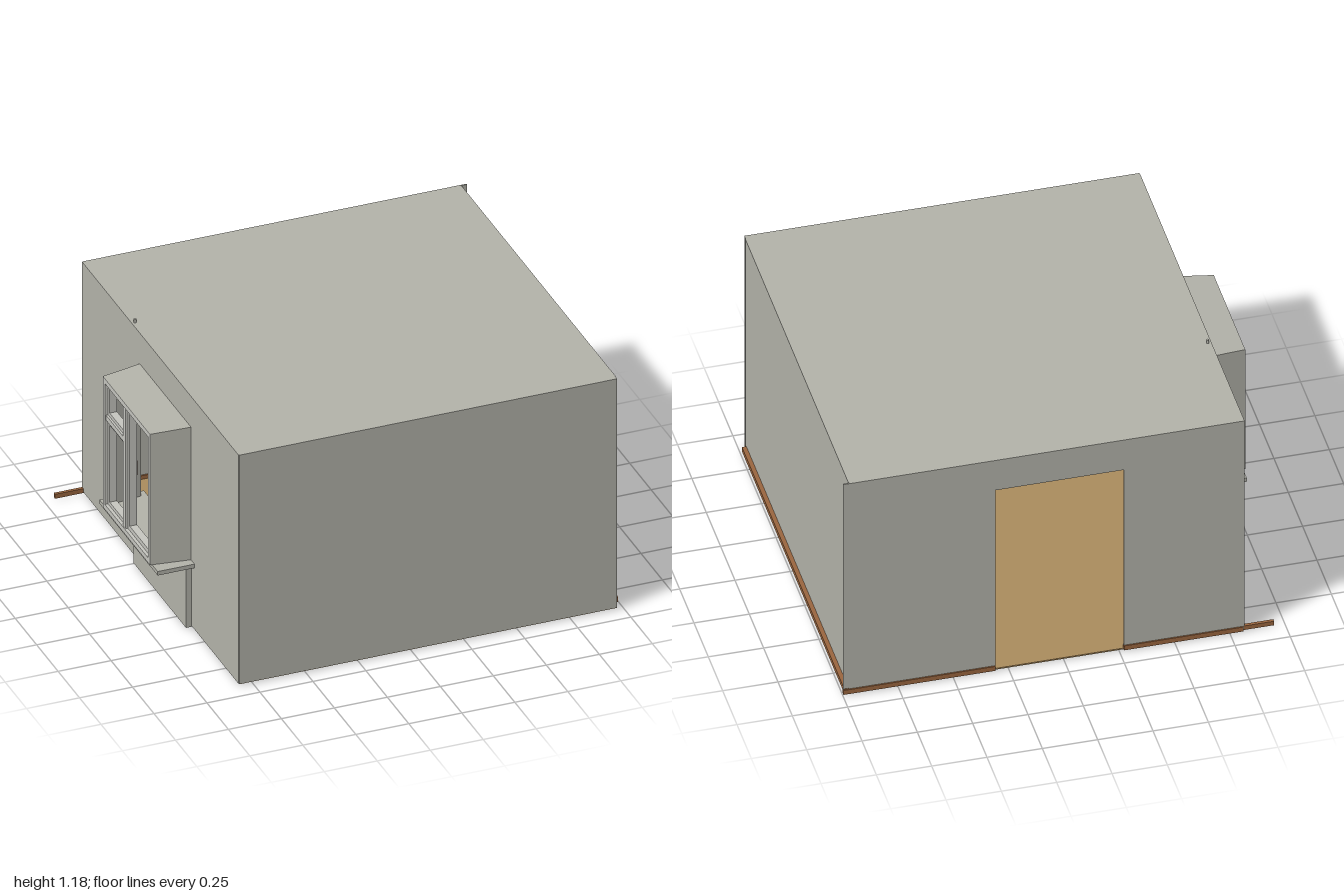
import * as THREE from 'three';

export function createModel() {
  const room = new THREE.Group();
  room.name = 'room';

  const material = (name, color) => {
    const m = new THREE.MeshStandardMaterial({ color, side: THREE.DoubleSide });
    m.name = name;
    return m;
  };
  const plaster = material('plaster', 0xb3b3aa);
  const flooring = material('floor boards', 0xab8c5d);
  const wood = material('skirting wood', 0x9a663f);
  const paint = material('window paint', 0xc6c6c0);
  const metal = material('dark metal', 0x5c4038);

  const add = (name, geometry, mat, parent = room) => {
    const mesh = new THREE.Mesh(geometry, mat);
    mesh.name = name;
    parent.add(mesh);
    return mesh;
  };
  // Box given by its minimum and maximum on each axis
  const box = (name, mat, [x0, x1], [y0, y1], [z0, z1], parent) => {
    const g = new THREE.BoxGeometry(x1 - x0, y1 - y0, z1 - z0);
    g.translate((x0 + x1) / 2, (y0 + y1) / 2, (z0 + z1) / 2);
    return add(name, g, mat, parent);
  };
  // Wall slab with a notch that starts at the floor
  const notchedWall = (a, b, top, n0, n1, nTop, depth) => {
    const pts = [[a, 0.01], [n0, 0.01], [n0, nTop], [n1, nTop], [n1, 0.01], [b, 0.01], [b, top], [a, top]];
    const shape = new THREE.Shape(pts.map(([x, y]) => new THREE.Vector2(x, y)));
    return new THREE.ExtrudeGeometry(shape, { depth, bevelEnabled: false });
  };

  // Shell
  const H = 1.165;
  box('floor', flooring, [-0.81, 0.97], [0.005, 0.012], [-0.91, 0.91]);
  box('ceiling', plaster, [-0.813, 0.97], [H - 0.006, H], [-0.912, 0.912]);
  box('frontWall', plaster, [-0.813, 0.97], [0.01, H], [0.909, 0.915]);
  box('leftWall', plaster, [0.966, 0.972], [0.01, H], [-0.905, 0.89]);
  const back = add('backWall', notchedWall(-0.813, 0.998, H, -0.27, 0.31, 1.0, 0.006), plaster);
  back.position.z = -0.913;
  const side = add('windowWall', notchedWall(-0.91, 0.912, H, -0.24, 0.36, 1.01, 0.006), plaster);
  side.rotation.y = -Math.PI / 2;
  side.position.x = -0.81;

  // Skirting boards
  box('sideSkirting', wood, [0.973, 0.993], [0.01, 0.034], [-0.915, 0.87]);
  box('backSkirting', wood, [0.31, 0.998], [0.006, 0.03], [-0.919, -0.9]);
  box('backSkirting', wood, [-0.81, -0.27], [0.006, 0.03], [-0.919, -0.9]);
  box('skirtingEnd', wood, [-0.95, -0.81], [0.006, 0.028], [-0.91, -0.895]);

  // Bay reveal: a tapering tunnel between two rectangular sections
  const section = (x, y0, y1, z0, z1) => [[x, y0, z0], [x, y0, z1], [x, y1, z1], [x, y1, z0]];
  const inner = section(-0.81, 0.34, 1.01, -0.24, 0.36);
  const outer = section(-0.998, 0.34, 1.0, -0.215, 0.335);
  const verts = [];
  for (let i = 0; i < 4; i++) {
    const j = (i + 1) % 4;
    verts.push(...inner[i], ...outer[i], ...outer[j], ...inner[i], ...outer[j], ...inner[j]);
  }
  const tunnel = new THREE.BufferGeometry();
  tunnel.setAttribute('position', new THREE.Float32BufferAttribute(verts, 3));
  tunnel.computeVertexNormals();
  add('windowReveal', tunnel, plaster);

  // Sill and the niche below it
  box('windowSill', plaster, [-0.99, -0.78], [0.32, 0.34], [-0.28, 0.4]);
  box('nichePanel', plaster, [-0.842, -0.836], [0.005, 0.32], [-0.245, 0.365]);
  for (const z of [-0.245, 0.36]) box('nicheSide', plaster, [-0.84, -0.81], [0.005, 0.32], [z, z + 0.005]);

  // Window: frame, mullion, transom and casement bars
  const win = new THREE.Group();
  win.name = 'window';
  room.add(win);
  const ring = (name, x, y, z, t) => {
    box(name, paint, x, [y[0], y[0] + t], z, win);
    box(name, paint, x, [y[1] - t, y[1]], z, win);
    for (const s of [z[0], z[1] - t]) box(name, paint, x, [y[0] + t, y[1] - t], [s, s + t], win);
  };
  ring('windowFrame', [-1, -0.955], [0.34, 1.0], [-0.215, 0.335], 0.025);
  box('mullion', paint, [-0.995, -0.955], [0.365, 0.975], [0.01, 0.04], win);
  box('transom', paint, [-0.995, -0.955], [0.79, 0.815], [-0.19, 0.01], win);
  ring('casement', [-0.985, -0.95], [0.365, 0.79], [-0.19, 0.01], 0.018);
  ring('topLight', [-0.985, -0.95], [0.815, 0.975], [-0.19, 0.01], 0.018);
  ring('casement', [-0.985, -0.95], [0.365, 0.975], [0.04, 0.31], 0.022);
  box('windowHandle', metal, [-0.95, -0.935], [0.62, 0.69], [0.018, 0.032], win);

  // Curtain rail with hooks
  box('curtainRail', wood, [-0.79, -0.765], [1.145, 1.158], [-0.85, 0.85]);
  for (let z = -0.8; z < 0.81; z += 0.08) {
    const hook = add('curtainHook', new THREE.SphereGeometry(0.008, 8, 6), wood);
    hook.position.set(-0.778, 1.138, z);
  }

  // Heating pipe and floor outlet
  const pipe = add('heatingPipe', new THREE.CylinderGeometry(0.006, 0.006, 1.183, 10), plaster);
  pipe.position.set(-0.8, 0.5915, -0.333);
  const outlet = add('floorOutlet', new THREE.CylinderGeometry(0.012, 0.012, 0.006, 16), metal);
  outlet.position.set(-0.06, 0.003, 0.07);

  return room;
}
